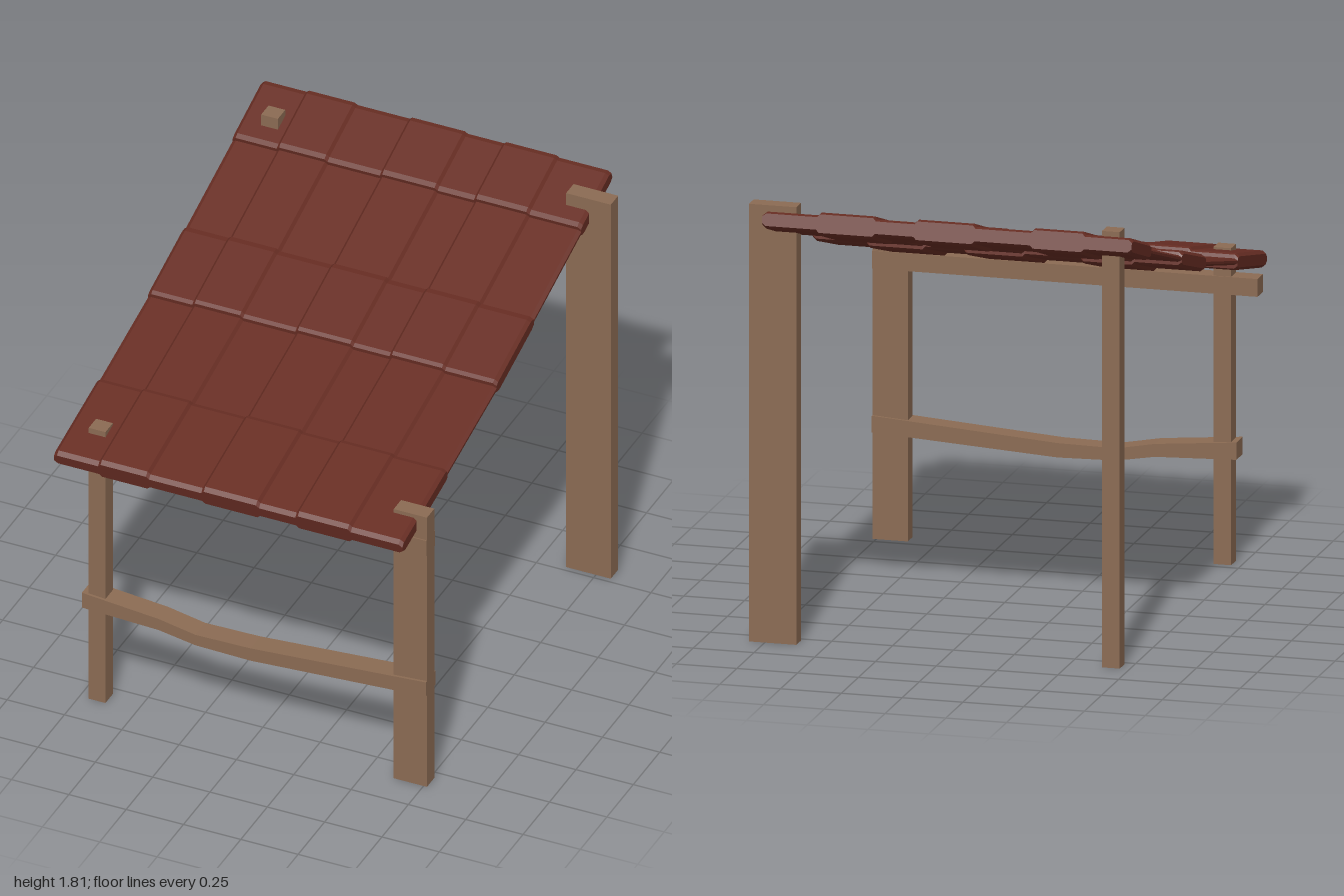
import * as THREE from 'three';

const wood = new THREE.MeshStandardMaterial({ color: 0x8b6b53, flatShading: true });
wood.name = 'weathered wood';
const tile = new THREE.MeshStandardMaterial({ color: 0x672d23, flatShading: true });
tile.name = 'red roof tile';

// Lofts sections along +x. Each section holds matching top and bottom rows of
// points, ordered from front (+z) to back.
function loft(sections) {
  const pos = [];
  const quad = (a, b, c, d) => pos.push(...a, ...b, ...c, ...a, ...c, ...d);
  const rings = sections.map(s => [...s.top, ...[...s.bottom].reverse()]);
  for (let k = 0; k < rings.length - 1; k++) {
    const p = rings[k], q = rings[k + 1];
    for (let i = 0; i < p.length; i++) {
      const j = (i + 1) % p.length;
      quad(p[i], q[i], q[j], p[j]);
    }
  }
  const first = sections[0], last = sections[sections.length - 1];
  for (let i = 0; i < first.top.length - 1; i++) {
    quad(first.top[i], first.top[i + 1], first.bottom[i + 1], first.bottom[i]);
    quad(last.top[i + 1], last.top[i], last.bottom[i], last.bottom[i + 1]);
  }
  const g = new THREE.BufferGeometry();
  g.setAttribute('position', new THREE.Float32BufferAttribute(pos, 3));
  g.computeVertexNormals();
  return g;
}

function addMesh(group, name, geometry, material) {
  const m = new THREE.Mesh(geometry, material);
  m.name = name;
  group.add(m);
  return m;
}

// Box given by its min and max corners
function addBox(group, name, [x0, y0, z0], [x1, y1, z1]) {
  addMesh(group, name, new THREE.BoxGeometry(x1 - x0, y1 - y0, z1 - z0), wood)
    .position.set((x0 + x1) / 2, (y0 + y1) / 2, (z0 + z1) / 2);
}

// Sagging centre line of the roof, as [z, y]
const slope = [[1, 1.207], [0.57, 1.307], [0.09, 1.427], [-0.24, 1.53], [-0.7, 1.678], [-1, 1.78]];
function roofLine(z) {
  let i = 0;
  while (i < slope.length - 2 && z < slope[i + 1][0]) i++;
  const [z0, y0] = slope[i], [z1, y1] = slope[i + 1];
  const s = (y1 - y0) / (z0 - z1), n = Math.hypot(1, s);
  return { y: y0 + s * (z0 - z), ny: 1 / n, nz: s / n };
}

function roofGeometry() {
  // Three thick bevelled bands joined by thin courses, as [z, half thickness]
  const courses = [
    [0.99, 0.022], [0.972, 0.034], [0.585, 0.034], [0.567, 0.028],
    [0.565, 0.013], [0.1, 0.013], [0.098, 0.028], [0.08, 0.034],
    [-0.225, 0.034], [-0.25, 0.026], [-0.252, 0.013], [-0.7, 0.013],
    [-0.702, 0.028], [-0.722, 0.034], [-0.967, 0.034], [-0.988, 0.025],
  ];
  // Every second column is raised, as [x, extra half thickness]
  const stations = [[-0.8, -0.012], [-0.785, 0]];
  for (const [a, b] of [[-0.6, -0.39], [-0.15, 0.09], [0.26, 0.49]]) {
    stations.push([a - 0.006, 0], [a + 0.006, 0.012], [b - 0.006, 0.012], [b + 0.006, 0]);
  }
  stations.push([0.705, 0], [0.72, -0.012]);
  return loft(stations.map(([x, extra]) => {
    const side = sign => courses.map(([z, h]) => {
      const l = roofLine(z), d = sign * Math.max(h + extra, 0.005);
      return [x, l.y + l.ny * d, z + l.nz * d];
    });
    return { top: side(1), bottom: side(-1) };
  }));
}

export function createModel() {
  const model = new THREE.Group();
  model.name = 'leanToShelter';

  addMesh(model, 'tiledRoof', roofGeometry(), tile);

  // Posts poke through the roof
  addBox(model, 'frontRightPost', [-0.71, 0, 0.787], [-0.637, 1.3, 0.857]);
  addBox(model, 'backRightPost', [-0.71, 0, -0.842], [-0.637, 1.79, -0.772]);
  addBox(model, 'frontLeftPost', [0.62, 0, 0.787], [0.765, 1.292, 0.857]);
  addBox(model, 'backLeftPost', [0.62, 0, -0.842], [0.815, 1.795, -0.772]);

  // Straight beam under the front eave
  addBox(model, 'eaveBeam', [-0.82, 1.11, 0.782], [0.765, 1.183, 0.862]);

  // Bent lower rail, as [x, bottom, top, back, front]
  const rail = [
    [-0.735, 0.437, 0.508, 0.775, 0.868], [-0.4, 0.425, 0.478, 0.775, 0.868],
    [-0.24, 0.398, 0.448, 0.775, 0.868], [0, 0.393, 0.452, 0.775, 0.868],
    [0.765, 0.44, 0.508, 0.775, 0.868],
  ];
  addMesh(model, 'lowerRail', loft(rail.map(([x, y0, y1, z0, z1]) => ({
    top: [[x, y1, z1], [x, y1, z0]],
    bottom: [[x, y0, z1], [x, y0, z0]],
  }))), wood);

  return model;
}
